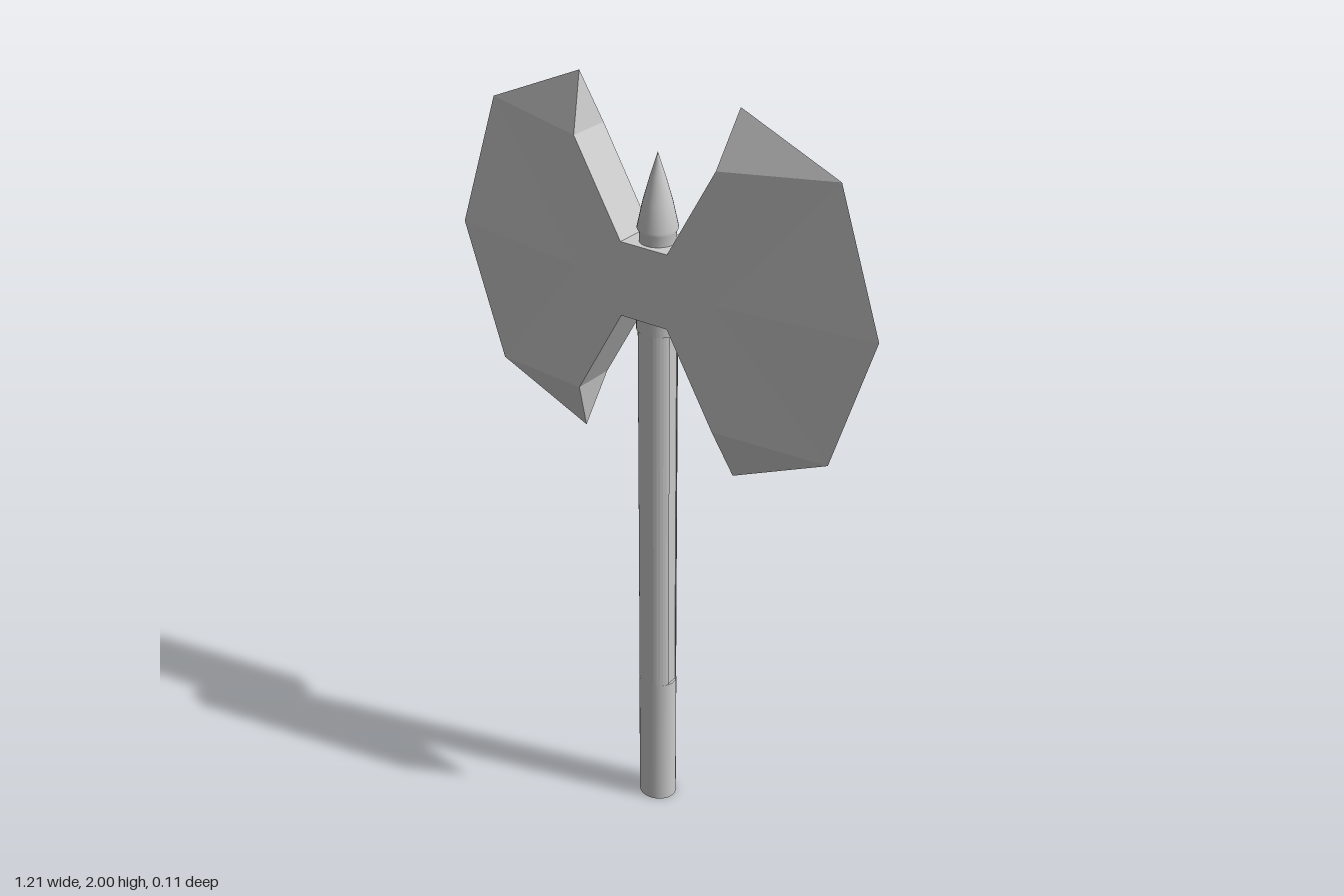
import * as THREE from 'three';

const STEEL = new THREE.MeshStandardMaterial({ color: 0xcccccc });
const FACETED = new THREE.MeshStandardMaterial({ color: 0xcccccc, flatShading: true });

// Double-bladed head: one octant described by its faces, mirrored in x, y and z
function headGeometry(midY) {
  const t = 0.057;
  const p = {
    N0: [0, 0, t], N1: [0.067, 0, t], P: [0.067, 0.095, t], Q: [0, 0.095, t],
    P0: [0.067, 0.095, 0], Q0: [0, 0.095, 0],
    M: [0.2, 0, t], R: [0.2, 0.328, t], R0: [0.2, 0.328, 0],
    T: [0.225, 0.465, 0], C: [0.49, 0.35, 0], E: [0.605, 0, 0],
  };
  const faces = [
    'N0 N1 P Q', 'N1 M R P', // flat cheek
    'M E C', 'M C R', 'R C T', // bevel down to the cutting edge
    'Q P P0 Q0', 'P R R0 P0', 'R T R0', // inner rim
  ];
  const pos = [];
  for (const sx of [1, -1]) for (const sy of [1, -1]) for (const sz of [1, -1]) {
    for (const face of faces) {
      const c = face.split(' ').map((k) => [p[k][0] * sx, p[k][1] * sy + midY, p[k][2] * sz]);
      if (sx * sy * sz < 0) c.reverse();
      for (let i = 1; i < c.length - 1; i++) pos.push(...c[0], ...c[i], ...c[i + 1]);
    }
  }
  const g = new THREE.BufferGeometry();
  g.setAttribute('position', new THREE.Float32BufferAttribute(pos, 3));
  g.computeVertexNormals();
  return g;
}

// Oval rod between two heights
function ovalRod(name, rx, rz, y0, y1) {
  const g = new THREE.CylinderGeometry(1, 1, y1 - y0, 32);
  g.scale(rx, 1, rz);
  g.translate(0, (y0 + y1) / 2, 0);
  const mesh = new THREE.Mesh(g, STEEL);
  mesh.name = name;
  return mesh;
}

// Long shaft with a shallow flat-bottomed groove down each side
function groovedShaft(rx, rz, y0, y1) {
  const half = 0.016, floor = 0.044;
  const edge = Math.asin(half / rz);
  const shape = new THREE.Shape();
  for (const start of [0, Math.PI]) {
    const s = start ? -1 : 1;
    const n = 14;
    if (start) shape.lineTo(-floor, half);
    else shape.moveTo(floor, half);
    for (let i = 0; i <= n; i++) {
      const a = start + edge + (i / n) * (Math.PI - 2 * edge);
      shape.lineTo(rx * Math.cos(a), rz * Math.sin(a));
    }
    shape.lineTo(-s * floor, s * half);
    shape.lineTo(-s * floor, -s * half);
  }
  const g = new THREE.ExtrudeGeometry(shape, { depth: y1 - y0, bevelEnabled: false });
  g.rotateX(-Math.PI / 2);
  g.translate(0, y0, 0);
  const mesh = new THREE.Mesh(g, STEEL);
  mesh.name = 'shaft';
  return mesh;
}

export function createModel() {
  const axe = new THREE.Group();
  axe.name = 'doubleAxe';

  // Handle: grip, grooved shaft and collar under the head
  axe.add(ovalRod('grip', 0.051, 0.046, 0, 0.38));
  axe.add(groovedShaft(0.05, 0.046, 0.38, 1.4));
  axe.add(ovalRod('collar', 0.055, 0.047, 1.4, 1.45));

  // Blades and the block joining them
  const head = new THREE.Mesh(headGeometry(1.535), FACETED);
  head.name = 'axeHead';
  axe.add(head);

  // Pointed finial
  const profile = [[0.044, 1.62], [0.045, 1.655], [0.05, 1.665], [0.036, 1.73], [0.019, 1.79], [0, 1.85]];
  const spike = new THREE.Mesh(
    new THREE.LatheGeometry(profile.map(([x, y]) => new THREE.Vector2(x, y)), 24), STEEL);
  spike.name = 'topSpike';
  axe.add(spike);

  return axe;
}
